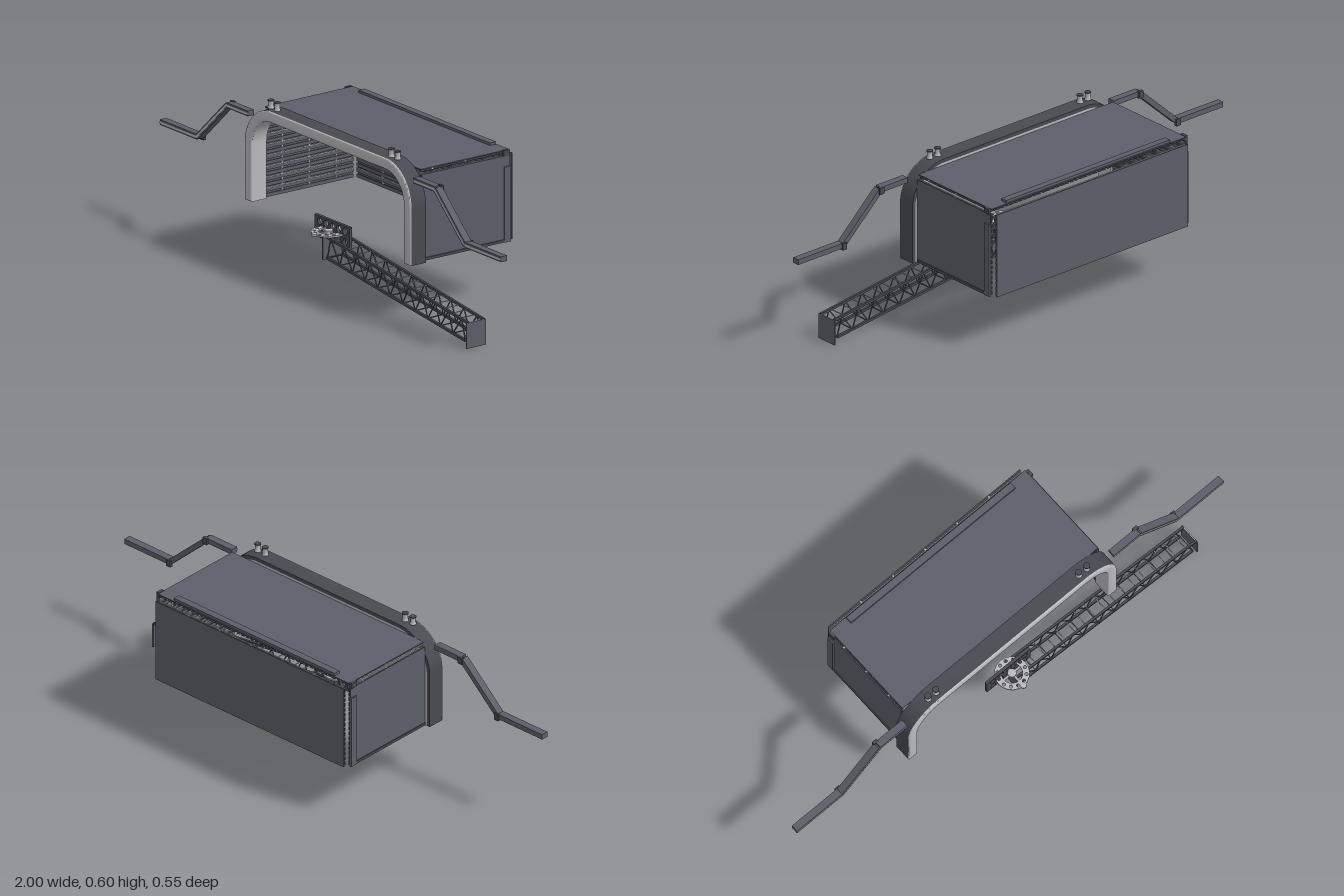
import * as THREE from 'three';
import { toCreasedNormals } from 'three/addons/utils/BufferGeometryUtils.js';

const mat = (name, color) => {
  const m = new THREE.MeshStandardMaterial({ color });
  m.name = name;
  return m;
};

export function createModel() {
  const model = new THREE.Group();
  const steel = mat('steelGrey', 0x5c5f69);
  const dark = mat('darkSteel', 0x484a51);
  const light = mat('lightMetal', 0xbcbcc0);

  const add = (parent, name, geo, material, x = 0, y = 0, z = 0) => {
    const m = new THREE.Mesh(geo, material);
    m.name = name;
    m.position.set(x, y, z);
    parent.add(m);
    return m;
  };
  const box = (parent, name, material, w, h, d, x, y, z) =>
    add(parent, name, new THREE.BoxGeometry(w, h, d), material, x, y, z);
  const group = (name, parent = model) => {
    const g = new THREE.Group();
    g.name = name;
    parent.add(g);
    return g;
  };
  // Rectangular bar between two points
  const bar = (parent, name, material, a, b, w, h = w) => {
    const m = box(parent, name, material, w, h, a.distanceTo(b), 0, 0, 0);
    m.position.copy(a).add(b).multiplyScalar(0.5);
    m.lookAt(b);
    return m;
  };
  const V = (x, y, z) => new THREE.Vector3(x, y, z);

  // Rounded arch with a given outer size and wall thickness
  const archGeometry = (w, top, r, t, depth, bevel = 0) => {
    const s = new THREE.Shape();
    const b = 0.21 + bevel, wi = w - t, ti = top - t, ri = r - t;
    s.moveTo(w, b);
    s.lineTo(w, top - r);
    s.absarc(w - r, top - r, r, 0, Math.PI / 2, false);
    s.lineTo(-w + r, top);
    s.absarc(-w + r, top - r, r, Math.PI / 2, Math.PI, false);
    s.lineTo(-w, b);
    s.lineTo(-wi, b);
    s.lineTo(-wi, ti - ri);
    s.absarc(-wi + ri, ti - ri, ri, Math.PI, Math.PI / 2, true);
    s.lineTo(wi - ri, ti);
    s.absarc(wi - ri, ti - ri, ri, Math.PI / 2, 0, true);
    s.lineTo(wi, b);
    s.closePath();
    return toCreasedNormals(new THREE.ExtrudeGeometry(s, {
      depth, curveSegments: 14, bevelEnabled: bevel > 0,
      bevelSize: bevel, bevelThickness: bevel * 0.6, bevelSegments: 3,
    }), 0.7);
  };
  const arch = group('frontArch');
  add(arch, 'archShell', archGeometry(0.487, 0.572, 0.15, 0.014, 0.064), dark, 0, 0, 0.137);
  add(arch, 'archLining', archGeometry(0.473, 0.558, 0.136, 0.026, 0.063), light, 0, 0, 0.137);
  add(arch, 'archFace', archGeometry(0.478, 0.563, 0.141, 0.022, 0.001, 0.009), light, 0, 0, 0.2005);

  // Wall panel: outer sheet, inner slats and spacer posts; inside faces local +z
  const panel = (name, w, h, slats, posts) => {
    const g = group(name);
    box(g, 'sheet', steel, w, h, 0.004, 0, 0, 0);
    const step = h / slats;
    for (let i = 0; i < slats; i++) {
      const y = -h / 2 + step * (i + 0.5);
      box(g, 'slat', steel, w - 0.006, step * 0.66, 0.003, 0, y, 0.009);
      if (i % 2) box(g, 'slatEdge', light, w - 0.006, 0.003, 0.003, 0, y + step * 0.4, 0.0085);
    }
    for (const x of posts) box(g, 'post', light, 0.008, h - 0.004, 0.006, x, 0, 0.005);
    return g;
  };
  panel('backWall', 0.9, 0.32, 16, [-0.3, -0.15, 0, 0.15, 0.3]).position.set(0, 0.37, -0.271);
  for (const s of [1, -1]) {
    const wall = panel('sideWall', 0.39, 0.32, 16, [-0.12, 0, 0.12]);
    wall.position.set(s * 0.462, 0.37, -0.058);
    wall.rotation.y = -s * Math.PI / 2;
  }
  const roof = panel('roof', 0.39, 0.916, 42, [0.143, -0.002, -0.177]);
  roof.position.set(0, 0.547, -0.058);
  roof.rotation.set(Math.PI / 2, 0, Math.PI / 2);
  box(model, 'roofRearBar', steel, 0.77, 0.01, 0.026, 0, 0.554, -0.236);

  // Fittings repeated on both sides
  for (const s of [1, -1]) {
    const side = group(s > 0 ? 'leftFittings' : 'rightFittings');
    box(side, 'rearPost', steel, 0.006, 0.28, 0.028, s * 0.466, 0.35, -0.239);
    box(side, 'bottomRail', dark, 0.008, 0.01, 0.37, s * 0.464, 0.216, -0.05);
    box(side, 'cornerHinge', dark, 0.012, 0.022, 0.026, s * 0.462, 0.54, -0.236);

    // Flared roof studs with dark caps
    const profile = [[0.012, 0], [0.012, 0.004], [0.0095, 0.008], [0.0095, 0.024],
      [0.012, 0.027]].map(p => new THREE.Vector2(...p));
    for (const x of [0.335, 0.372]) {
      add(side, 'roofStud', new THREE.LatheGeometry(profile, 20), light, s * x, 0.572, 0.175);
      add(side, 'studCap', new THREE.CylinderGeometry(0.012, 0.012, 0.004, 20), dark,
        s * x, 0.601, 0.175);
    }

    // Cranked arm with a pale strip along its front
    const arm = group('crankedArm', side);
    const path = z => [[0.485, 0.525], [0.61, 0.525], [0.785, 0.363], [1, 0.363]]
      .map(([x, y]) => V(s * x, y, z));
    const pts = path(0.178), front = path(0.1925);
    for (let i = 0; i < 3; i++) {
      bar(arm, 'armSegment', steel, pts[i], pts[i + 1], 0.028, 0.02);
      bar(arm, 'armStrip', light, front[i], front[i + 1], 0.002, 0.008);
    }
    for (const p of [pts[1], pts[2]])
      box(arm, 'armJoint', dark, 0.02, 0.026, 0.012, p.x, p.y - 0.002, 0.164);
  }

  // Sloping lattice boom
  const boom = group('latticeBoom');
  const top = (t, z) => V(0.845 * t, 0.205 - 0.111 * t, z);
  const low = (t, z) => V(0.02 + 0.81 * t, 0.125 - 0.1 * t, z);
  const bays = 11, rungs = 18;
  for (const z of [0.151, 0.22]) {
    bar(boom, 'topChord', dark, top(0, z), top(1, z), 0.009);
    bar(boom, 'bottomChord', dark, low(0, z), low(1, z), 0.009);
    for (let i = 0; i < bays; i++) {
      bar(boom, 'brace', steel, low(i / bays, z), top((i + 0.5) / bays, z), 0.0035);
      bar(boom, 'brace', steel, top((i + 0.5) / bays, z), low((i + 1) / bays, z), 0.0035);
    }
  }
  for (let i = 0; i <= rungs; i++)
    bar(boom, 'topRung', light, top(i / rungs, 0.151), top(i / rungs, 0.22), 0.003);
  for (let i = 0; i <= bays; i++)
    bar(boom, 'bottomRung', steel, low(i / bays, 0.151), low(i / bays, 0.22), 0.0035);
  box(boom, 'upperEndPlate', steel, 0.005, 0.09, 0.085, 0.002, 0.16, 0.186);
  box(boom, 'lowerEndPlate', steel, 0.005, 0.095, 0.085, 0.845, 0.0475, 0.186);

  // Perforated mounting plate
  const hole = (shape, x, y, r) =>
    shape.holes.push(new THREE.Path().absarc(x, y, r, 0, Math.PI * 2, true));
  const mount = group('boomMount');
  const plate = new THREE.Shape([[-0.103, 0.17], [0.1, 0.17], [0.1, 0.25], [-0.103, 0.25]]
    .map(p => new THREE.Vector2(...p)));
  for (let i = -2; i <= 2; i++)
    for (const y of [0.19, 0.23]) hole(plate, i * 0.037, y, 0.013);
  add(mount, 'mountPlate', new THREE.ExtrudeGeometry(plate,
    { depth: 0.012, bevelEnabled: false, curveSegments: 6 }), dark, 0, 0, 0.172);
  box(mount, 'mountBlock', dark, 0.03, 0.03, 0.02, 0, 0.195, 0.165);

  // Horizontal turntable ring with bolt holes, spokes and a pin
  const ring = new THREE.Shape().absarc(0, 0, 0.063, 0, Math.PI * 2, false);
  hole(ring, 0, 0, 0.038);
  for (let i = 0; i < 12; i++) {
    const a = (i + 0.5) * Math.PI / 6;
    hole(ring, 0.051 * Math.cos(a), 0.051 * Math.sin(a), 0.006);
  }
  const table = group('turntable', mount);
  table.position.set(0, 0.21, 0.2);
  add(table, 'tableRing', new THREE.ExtrudeGeometry(ring,
    { depth: 0.006, bevelEnabled: false, curveSegments: 10 }), light).rotation.x = -Math.PI / 2;
  for (const a of [0, Math.PI / 2])
    box(table, 'spoke', light, 0.084, 0.005, 0.008, 0, 0.003, 0).rotation.y = a;
  add(table, 'hub', new THREE.CylinderGeometry(0.016, 0.016, 0.012, 16), light, 0, 0.004, 0);
  add(table, 'pin', new THREE.CylinderGeometry(0.011, 0.011, 0.008, 14), light, 0, 0.004, 0.062);

  return model;
}
